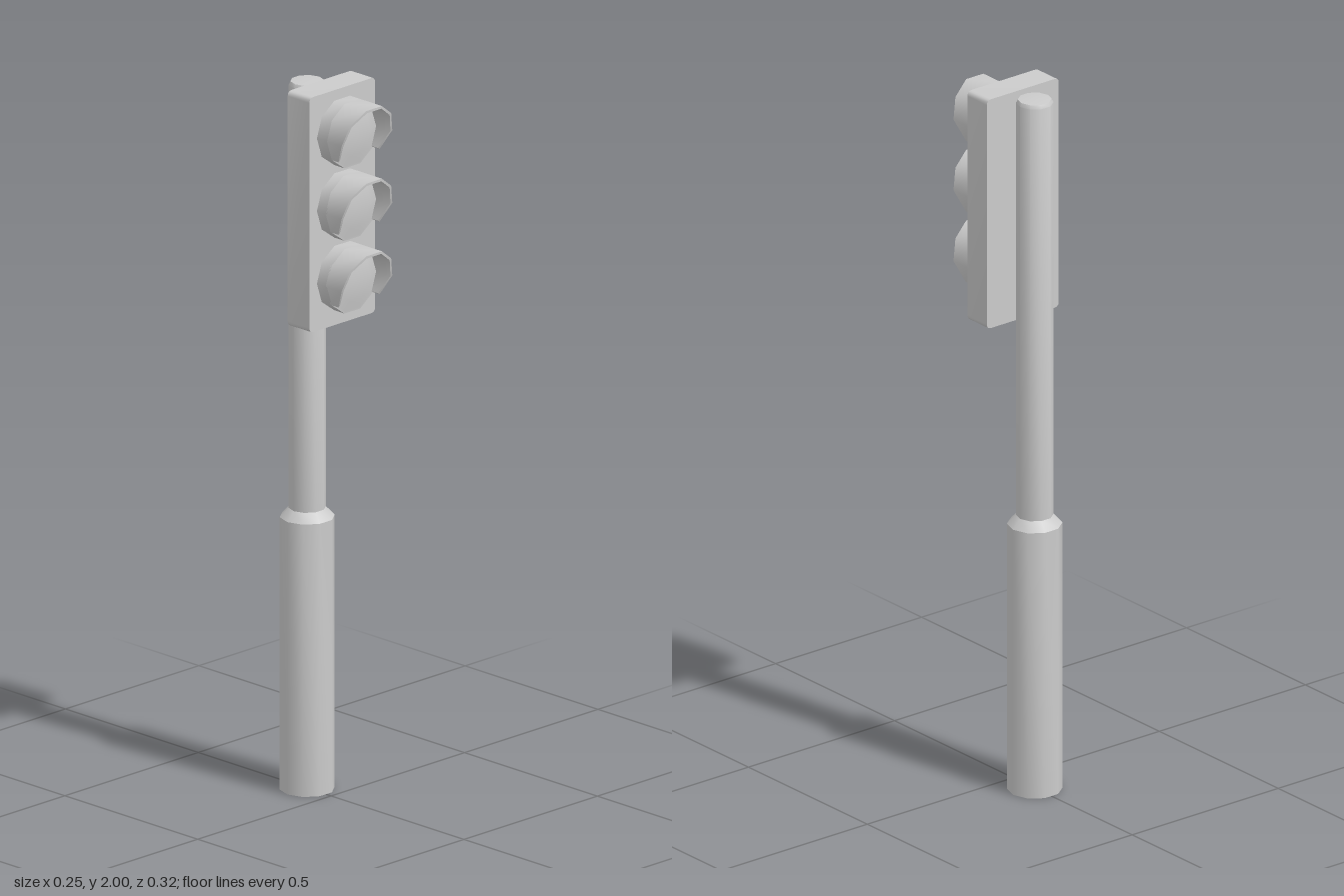
import * as THREE from 'three';
import { toCreasedNormals } from 'three/addons/utils/BufferGeometryUtils.js';

const SIDES = 10;
const STEP = (Math.PI * 2) / SIDES;
const material = new THREE.MeshStandardMaterial({ color: 0xcccccc });

function part(name, geometry) {
  const mesh = new THREE.Mesh(toCreasedNormals(geometry, 0.7), material);
  mesh.name = name;
  return mesh;
}

// Ten-sided turned shape with corners on the x axis
function turned(profile) {
  const points = profile.map(([r, y]) => new THREE.Vector2(r, y));
  return new THREE.LatheGeometry(points, SIDES, STEP / 2);
}

// Rounded rectangle plate of the signal housing
function housingGeometry(w, h, depth, r) {
  const x = w / 2, y = h / 2;
  const s = new THREE.Shape();
  s.moveTo(-x + r, -y);
  s.lineTo(x - r, -y);
  s.quadraticCurveTo(x, -y, x, -y + r);
  s.lineTo(x, y - r);
  s.quadraticCurveTo(x, y, x - r, y);
  s.lineTo(-x + r, y);
  s.quadraticCurveTo(-x, y, -x, y - r);
  s.lineTo(-x, -y + r);
  s.quadraticCurveTo(-x, -y, -x + r, -y);
  return new THREE.ExtrudeGeometry(s, { depth, bevelEnabled: false, curveSegments: 3 });
}

// Hood swept over the upper part of a lamp, longest at the top
function visorGeometry(outer, inner, back) {
  const fronts = [0.105, 0.135, 0.149, 0.162, 0.162, 0.149, 0.135, 0.105];
  const positions = [], index = [];
  fronts.forEach((front, i) => {
    const a = (i - 1) * STEP;
    for (const [r, z] of [[outer, back], [outer, front], [inner, front], [inner, back]]) {
      positions.push(Math.cos(a) * r, Math.sin(a) * r, z);
    }
  });
  const last = fronts.length - 1;
  for (let i = 0; i < last; i++) {
    for (let k = 0; k < 4; k++) {
      const a = i * 4 + k, b = i * 4 + (k + 1) % 4;
      index.push(a, a + 4, b, b, a + 4, b + 4);
    }
  }
  const e = last * 4;
  index.push(0, 1, 2, 0, 2, 3, e, e + 2, e + 1, e, e + 3, e + 2);
  const g = new THREE.BufferGeometry();
  g.setAttribute('position', new THREE.Float32BufferAttribute(positions, 3));
  g.setIndex(index);
  return g;
}

export function createModel() {
  const model = new THREE.Group();
  model.name = 'trafficLight';

  // Post: hollow thick base, sloped shoulder, slim upper pole with softened top
  const post = part('post', turned([
    [0, 0.7], [0.05, 0.7], [0.05, 0], [0.074, 0], [0.074, 0.765],
    [0.05, 0.79], [0.05, 1.978], [0.045, 1.988], [0, 1.992],
  ]));
  post.position.z = -0.09;
  model.add(post);

  // Signal housing
  const housing = part('housing', housingGeometry(0.246, 0.66, 0.082, 0.014));
  housing.position.set(0, 1.67, -0.04);
  model.add(housing);

  // Three lamps, each a domed drum under a hood
  ['topLamp', 'middleLamp', 'bottomLamp'].forEach((name, i) => {
    const lamp = new THREE.Group();
    lamp.name = name;
    const drum = turned([[0.095, 0.035], [0.095, 0.08], [0.088, 0.081], [0.06, 0.088], [0, 0.093]]);
    drum.rotateX(Math.PI / 2);
    lamp.add(part('lens', drum), part('visor', visorGeometry(0.095, 0.088, 0.075)));
    lamp.position.y = 1.88 - i * 0.204;
    model.add(lamp);
  });

  return model;
}
